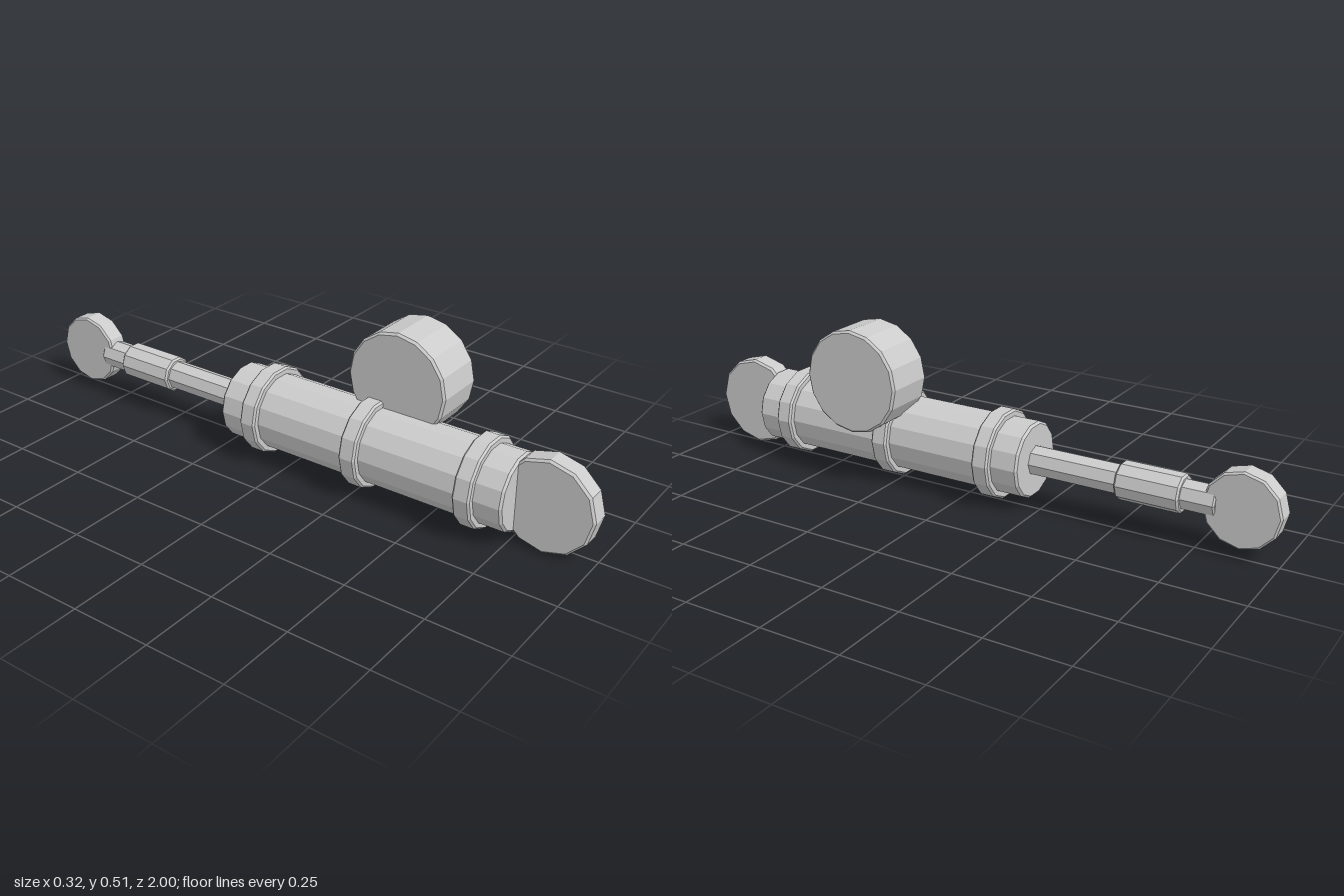
import * as THREE from 'three';

const AXIS_X = -0.021, AXIS_Y = 0.148;
const material = new THREE.MeshStandardMaterial({ color: 0xcccccc, flatShading: true });

// Faceted drum with chamfered rims, spanning start..end along its own axis
function drumGeometry(radius, start, end, sides, bevel) {
  const profile = [
    [0, start], [radius - bevel, start], [radius, start + bevel],
    [radius, end - bevel], [radius - bevel, end], [0, end],
  ].map(([r, h]) => new THREE.Vector2(r, h));
  return new THREE.LatheGeometry(profile, sides, Math.PI / 2);
}

export function createModel() {
  const model = new THREE.Group();
  model.name = 'cylinderAssembly';

  const add = (name, geometry, x, y, z) => {
    const mesh = new THREE.Mesh(geometry, material);
    mesh.name = name;
    mesh.position.set(x, y, z);
    model.add(mesh);
  };
  // Drum running along the main z axis
  const addAlongZ = (name, radius, z0, z1, sides, bevel) =>
    add(name, drumGeometry(radius, z0, z1, sides, bevel).rotateX(Math.PI / 2), AXIS_X, AXIS_Y, 0);
  // Disc with its axis along x
  const addDisc = (name, radius, x0, x1, y, z, sides, bevel) =>
    add(name, drumGeometry(radius, x0, x1, sides, bevel).rotateZ(-Math.PI / 2), 0, y, z);

  // Main barrel and its three bands
  addAlongZ('barrel', 0.12, -0.22, 0.763, 14, 0.007);
  [['rearBand', -0.102], ['middleBand', 0.266], ['frontBand', 0.647]].forEach(([name, z]) =>
    addAlongZ(name, 0.141, z - 0.028, z + 0.028, 14, 0.006));

  // Piston rod and the sleeve around it
  addAlongZ('rod', 0.047, -0.808, -0.2, 8, 0.005);
  addAlongZ('rodSleeve', 0.059, -0.705, -0.505, 10, 0.006);

  // Mounting discs at both ends
  addDisc('frontEye', 0.1475, -0.055, 0.013, AXIS_Y, 0.8525, 12, 0.007);
  addDisc('rearEye', 0.117, -0.055, 0.013, AXIS_Y, -0.883, 12, 0.006);

  // Side reservoir
  addDisc('reservoir', 0.165, -0.012, 0.161, 0.348, 0.335, 16, 0.007);

  return model;
}
